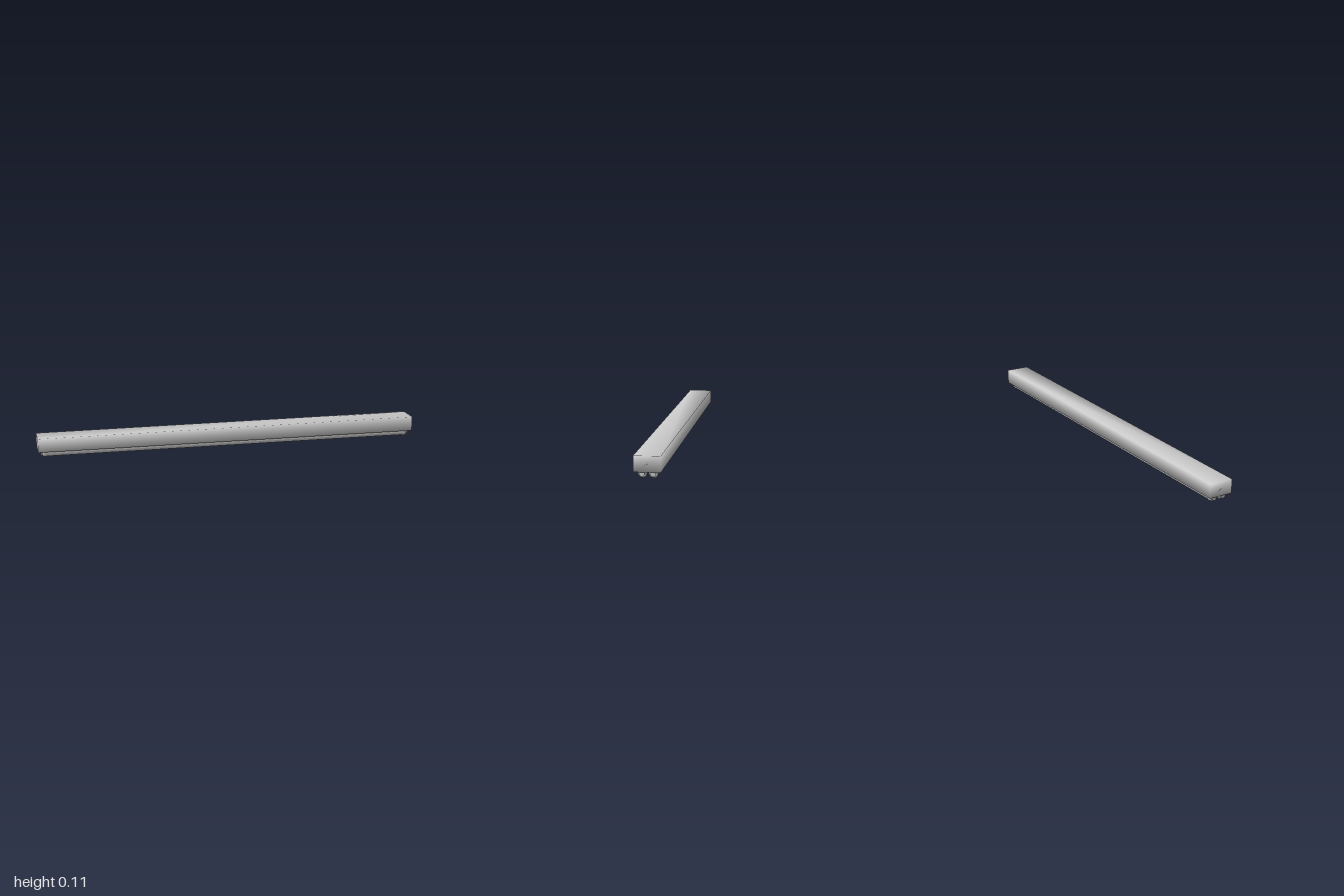
import * as THREE from 'three';
import { mergeVertices } from 'three/addons/utils/BufferGeometryUtils.js';

const grey = new THREE.MeshStandardMaterial({ color: 0xcccccc });

function add(parent, name, geometry) {
  const mesh = new THREE.Mesh(geometry, grey);
  mesh.name = name;
  parent.add(mesh);
  return mesh;
}

// Long box with a slightly lower left end and softly blended normals
function housingGeometry() {
  let g = new THREE.BoxGeometry(2, 0.076, 0.125);
  g.translate(0, 0.07, 0);
  const p = g.attributes.position;
  for (let i = 0; i < p.count; i++) {
    if (p.getY(i) > 0.07) p.setY(i, p.getX(i) < 0 ? 0.103 : 0.108);
  }
  g.deleteAttribute('normal');
  g.deleteAttribute('uv');
  g = mergeVertices(g);
  g.computeVertexNormals();
  return g;
}

export function createModel() {
  const model = new THREE.Group();
  model.name = 'tubeLight';
  add(model, 'housing', housingGeometry());

  // Collar profile, tapering towards the outer end (radius, height)
  const collar = [[0.019, 0], [0.021, 0.002], [0.021, 0.014], [0.017, 0.02], [0.012, 0.023], [0, 0.023]]
    .map(([r, h]) => new THREE.Vector2(r, h));

  for (const side of [1, -1]) {
    const lamp = new THREE.Group();
    lamp.name = side > 0 ? 'frontLamp' : 'backLamp';
    lamp.position.set(0, 0.0213, side * 0.0255);
    model.add(lamp);

    const tube = add(lamp, 'tube', new THREE.CylinderGeometry(0.019, 0.019, 1.93, 24, 1, true));
    tube.rotation.z = Math.PI / 2;

    for (const end of [1, -1]) {
      // Rounded collar at the end of the tube
      const cap = add(lamp, 'tubeCap', new THREE.LatheGeometry(collar, 24));
      cap.position.x = end * 0.955;
      cap.rotation.z = -end * Math.PI / 2;

      // Six-sided holder joining the collar to the housing
      const holder = add(lamp, 'holder', new THREE.CylinderGeometry(0.0135, 0.0135, 0.014, 6).toNonIndexed());
      holder.geometry.computeVertexNormals();
      holder.rotation.set(Math.PI / 2, 0, Math.PI / 2, 'ZYX');
      holder.rotation.set(0, 0, Math.PI / 2);
      holder.position.set(end * 0.979, 0, 0);
      const post = add(lamp, 'holderPost', new THREE.BoxGeometry(0.014, 0.016, 0.0234));
      post.position.set(end * 0.979, 0.007, 0);
    }
  }
  return model;
}
